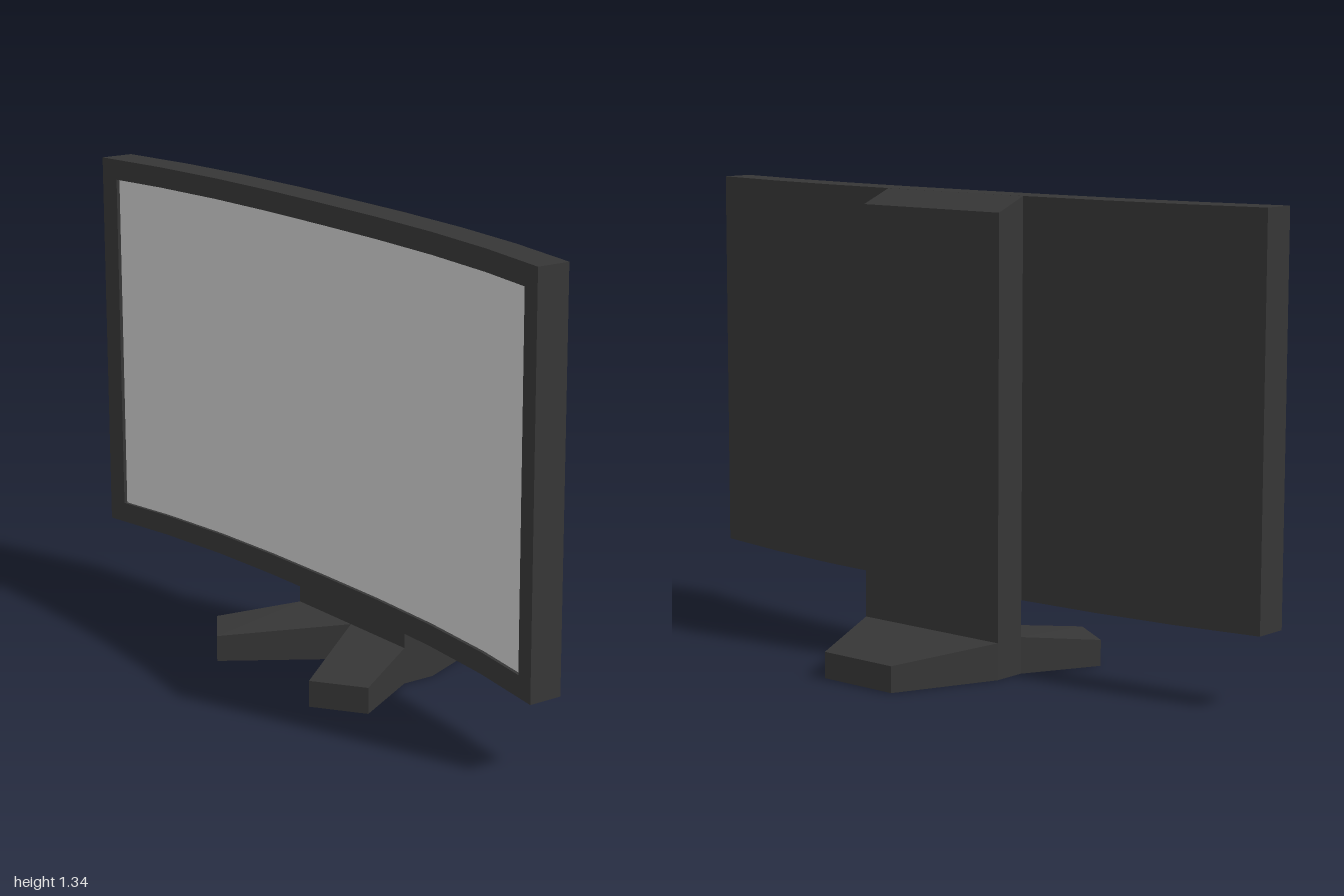
import * as THREE from 'three';

const casing = new THREE.MeshStandardMaterial({ color: 0x363636 });
casing.name = 'dark casing';
const glass = new THREE.MeshStandardMaterial({ color: 0xcccccc });
glass.name = 'grey screen';

// Forward offset of the curved panel at x, straight between columns 0.25 apart
const BEND = [0, 0.002, 0.013, 0.038, 0.08];
function bend(x) {
  const t = Math.min(Math.abs(x) / 0.25, 4);
  const i = Math.min(Math.floor(t), 3);
  return BEND[i] + (BEND[i + 1] - BEND[i]) * (t - i);
}

function faceted(geometry) {
  const g = geometry.toNonIndexed();
  g.computeVertexNormals();
  return g;
}

// Box from x0..x1, y0..y1, z0..z1, bent along the panel's curve
function curvedSlab(name, [x0, x1], [y0, y1], [z0, z1], material) {
  const g = new THREE.BoxGeometry(2, y1 - y0, z1 - z0, 8, 1, 1);
  g.translate(0, (y0 + y1) / 2, (z0 + z1) / 2);
  const p = g.attributes.position;
  for (let i = 0; i < p.count; i++) {
    const x = THREE.MathUtils.clamp(p.getX(i), x0, x1);
    p.setX(i, x);
    p.setZ(i, p.getZ(i) + bend(x));
  }
  const mesh = new THREE.Mesh(faceted(g), material);
  mesh.name = name;
  return mesh;
}

// Upright solid from y = 0, each corner given as [x, z, top height],
// counter-clockwise seen from above
function prism(name, corners) {
  const n = corners.length;
  const positions = [];
  for (const [x, z] of corners) positions.push(x, 0, z);
  for (const [x, z, y] of corners) positions.push(x, y, z);
  const index = [];
  for (let i = 0; i < n; i++) {
    const j = (i + 1) % n;
    index.push(i, j, n + j, i, n + j, n + i);
    if (i > 0 && i < n - 1) index.push(n, n + i, n + i + 1, 0, i + 1, i);
  }
  const g = new THREE.BufferGeometry();
  g.setAttribute('position', new THREE.Float32BufferAttribute(positions, 3));
  g.setIndex(index);
  const mesh = new THREE.Mesh(faceted(g), casing);
  mesh.name = name;
  return mesh;
}

export function createModel() {
  const model = new THREE.Group();
  model.name = 'curvedMonitor';

  // Panel: four frame bars around a slightly recessed screen
  const panel = new THREE.Group();
  panel.name = 'panel';
  const depth = [0.04, 0.14];
  const [bottom, sill, head, top] = [0.21, 0.27, 1.275, 1.335];
  panel.add(
    curvedSlab('frameTop', [-1, 1], [head, top], depth, casing),
    curvedSlab('frameBottom', [-1, 1], [bottom, sill], depth, casing),
    curvedSlab('frameRight', [-1, -0.94], [sill, head], depth, casing),
    curvedSlab('frameLeft', [0.94, 1], [sill, head], depth, casing),
    // Only the front face of this slab is the lit screen
    curvedSlab('screen', [-0.94, 0.94], [sill, head], [0.04, 0.13],
      [casing, casing, casing, casing, glass, casing]),
  );
  model.add(panel);

  // Stand: column with a sloped top, one rear foot and two splayed front feet
  const stand = new THREE.Group();
  stand.name = 'stand';
  const root = 0.105, tip = 0.075;
  stand.add(
    prism('column', [[-0.25, 0.04, top], [0.25, 0.04, top], [0.25, -0.06, 1.295], [-0.25, -0.06, 1.295]]),
    prism('rearFoot', [[-0.25, -0.06, root], [0.25, -0.06, root], [0.125, -0.36, tip], [-0.125, -0.36, tip]]),
    prism('frontFootRight', [[-0.25, 0.04, root], [-0.36, 0.26, tip], [-0.215, 0.357, tip], [0, 0.04, root]]),
    prism('frontFootLeft', [[0, 0.04, root], [0.235, 0.357, tip], [0.375, 0.26, tip], [0.25, 0.04, root]]),
  );
  model.add(stand);

  return model;
}
